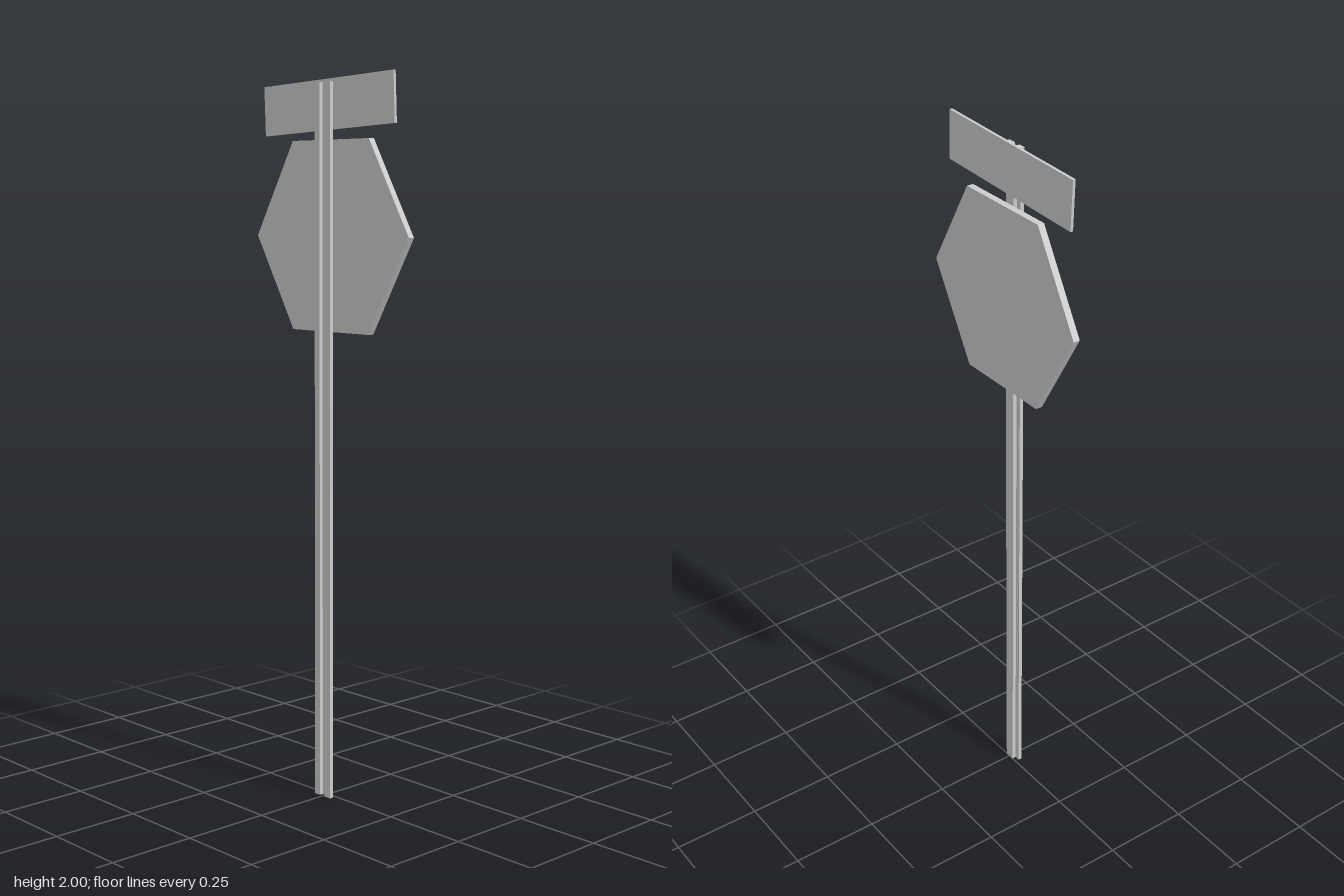
import * as THREE from 'three';

export function createModel() {
  const group = new THREE.Group();
  const material = new THREE.MeshStandardMaterial({ color: 0xcccccc, flatShading: true });

  const add = (name, geometry) => {
    const mesh = new THREE.Mesh(geometry, material);
    mesh.name = name;
    group.add(mesh);
    return mesh;
  };
  const extrude = (points, depth) => new THREE.ExtrudeGeometry(
    new THREE.Shape(points.map(([x, y]) => new THREE.Vector2(x, y))),
    { depth, bevelEnabled: false }
  );

  // Post: hat-channel section given as [x, z], swept upwards
  const section = [
    [-0.031, 0.022], [-0.011, 0.022], [-0.011, 0.011], [0.007, 0.011],
    [0.007, 0.022], [0.031, 0.022], [0.031, 0.011], [0.013, 0.011],
    [0.013, 0], [-0.016, 0], [-0.016, 0.011], [-0.031, 0.011],
  ];
  add('post', extrude(section.map(([x, z]) => [x, -z]), 1.98).rotateX(-Math.PI / 2));

  // Hexagonal sign panel with corners pointing sideways
  const hexagon = Array.from({ length: 6 }, (_, i) => {
    const a = (i * Math.PI) / 3;
    return [0.299 * Math.cos(a), 0.299 * Math.sin(a)];
  });
  add('hexagonPanel', extrude(hexagon, 0.019)).position.set(0, 1.57, -0.025);

  // Slightly tilted name plate at the top of the post
  const plate = add('topPlate', new THREE.BoxGeometry(0.507, 0.135, 0.008));
  plate.position.set(-0.005, 1.922, -0.004);
  plate.rotation.z = 0.041;

  return group;
}
